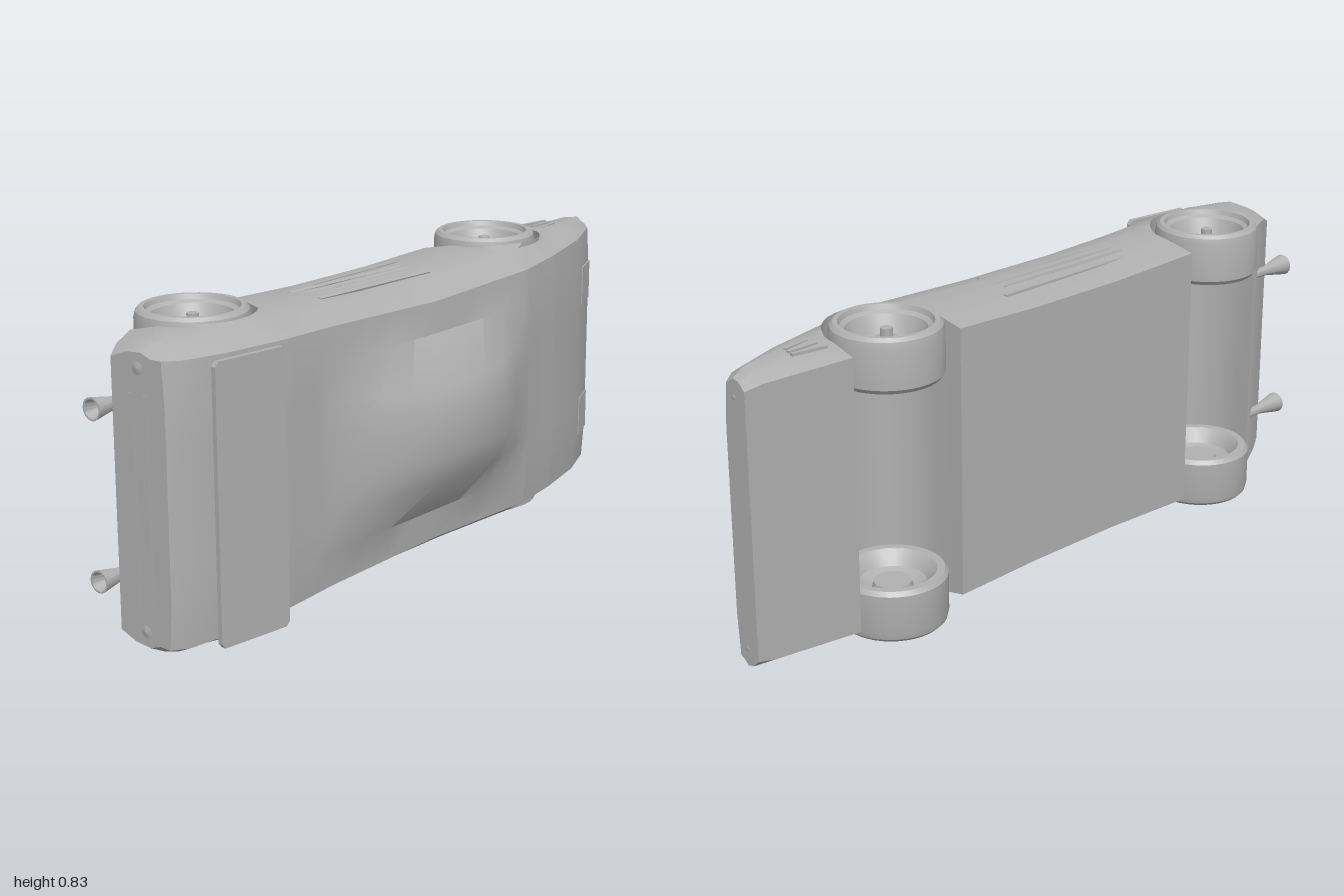
import * as THREE from 'three';
import { toCreasedNormals } from 'three/addons/utils/BufferGeometryUtils.js';

const MID = 0.4175; // the car lies on its side: length on x, width on y, height on z
const ARCHES = [{ x: -0.67, z: -0.115 }, { x: 0.535, z: -0.09 }];
const ARCH_R = 0.162;

// Profiles along the car, as pairs of x and value
const DECK = [[-0.97, 0.075], [-0.93, 0.105], [-0.8, 0.13], [-0.6, 0.14], [-0.42, 0.135], [0, 0.147],
  [0.42, 0.152], [0.6, 0.12], [0.8, 0.07], [0.95, 0.008], [1, -0.035]];
const CABIN = [[-0.5, 0], [-0.42, 0.015], [-0.3, 0.057], [-0.2, 0.088], [-0.1, 0.104], [0, 0.11],
  [0.1, 0.102], [0.2, 0.085], [0.3, 0.044], [0.42, 0.003], [0.5, 0]];
const WIDTH = [[-0.97, 0.375], [-0.93, 0.395], [-0.8, 0.405], [-0.6, 0.405], [-0.2, 0.391], [0.1, 0.391],
  [0.42, 0.401], [0.6, 0.402], [0.95, 0.392], [1, 0.383]];
const FLOOR = [[-0.97, -0.1], [-0.84, -0.165], [-0.51, -0.2], [0.38, -0.185], [0.7, -0.15], [1, -0.112]];

function sample(table, x) {
  let i = 0;
  while (i < table.length - 2 && x > table[i + 1][0]) i++;
  const [a, b] = [table[i], table[i + 1]];
  const t = THREE.MathUtils.clamp((x - a[0]) / (b[0] - a[0]), 0, 1);
  return a[1] + (b[1] - a[1]) * t;
}

// One closed cross-section, from the left sill over the roof to the right sill
function section(x) {
  const deck = sample(DECK, x), cabin = sample(CABIN, x), wide = sample(WIDTH, x), floor = sample(FLOOR, x);
  let low = floor;
  for (const a of ARCHES) {
    const d = Math.abs(x - a.x);
    if (d <= ARCH_R) low = a.z + Math.sqrt(ARCH_R * ARCH_R - d * d);
  }
  const roofWidth = 0.15 - 0.2 * cabin, shoulder = deck - 0.008;
  const half = [[roofWidth * 0.5, deck + cabin * 0.95], [roofWidth, deck + cabin * 0.8],
    [0.25, deck], [0.335 + 0.03 * Math.abs(x), shoulder]];
  for (const [t, inset] of [[0.2, 0.012], [0.4, 0], [0.7, 0.005], [1, 0.025]])
    half.push([wide - inset, Math.max(low, shoulder + (floor - shoulder) * t)]);
  return [...half.slice().reverse(), [0, deck + cabin], ...half.map(([w, z]) => [-w, z])];
}

// Lofted shell with full-width wheel tunnels
function bodyGeometry() {
  const stations = new Set([DECK, CABIN, WIDTH, FLOOR].flatMap(table => table.map(p => p[0])));
  for (const a of ARCHES) {
    for (let i = 0; i <= 16; i++) stations.add(a.x - ARCH_R * 0.9999 * Math.cos(Math.PI * i / 16));
    stations.add(a.x - ARCH_R - 0.001).add(a.x + ARCH_R + 0.001);
  }
  const xs = [...stations].sort((a, b) => a - b);
  const rings = xs.map(section), n = rings[0].length, pos = [], idx = [];
  rings.forEach((r, i) => r.forEach(([w, z]) => pos.push(xs[i], MID + w, z)));
  for (let i = 0; i < xs.length - 1; i++)
    for (let j = 0; j < n; j++) {
      const k = (j + 1) % n, a = i * n + j, b = a + n, c = i * n + k, d = c + n;
      idx.push(a, c, b, b, c, d);
    }
  // Flat tail and nose faces
  const last = xs.length - 1, m = xs.length * n;
  pos.push(xs[0], MID, -0.02, xs[last], MID, -0.075);
  for (let j = 0; j < n; j++) {
    const k = (j + 1) % n;
    idx.push(m, k, j, m + 1, last * n + j, last * n + k);
  }
  const g = new THREE.BufferGeometry();
  g.setAttribute('position', new THREE.Float32BufferAttribute(pos, 3));
  g.setIndex(idx);
  return toCreasedNormals(g, 0.5);
}

function lathe(points, segments) {
  return toCreasedNormals(new THREE.LatheGeometry(points.map(p => new THREE.Vector2(...p)), segments), 0.5);
}

export function createModel() {
  const car = new THREE.Group();
  car.name = 'sportsCar';
  const grey = new THREE.MeshStandardMaterial({ color: 0xb0b0b0 });
  grey.name = 'plain grey';
  const add = (name, geo, x, y, z) => {
    const mesh = new THREE.Mesh(geo, grey);
    mesh.name = name;
    mesh.position.set(x, y, z);
    car.add(mesh);
    return mesh;
  };
  const box = (name, sx, sy, sz, x, y, z) => add(name, new THREE.BoxGeometry(sx, sy, sz), x, y, z);

  add('body', bodyGeometry(), 0, 0, 0);

  // Wheels with deep dished rims, open at the back
  const wheel = lathe([[0, 0.035], [0.05, 0.035], [0.055, 0.055], [0.09, 0.04], [0.112, 0.004], [0.118, 0],
    [0.138, 0], [0.147, 0.012], [0.147, 0.118], [0.143, 0.136], [0.134, 0.145], [0.122, 0.145], [0.117, 0.132],
    [0.105, 0.125], [0.085, 0.078], [0.06, 0.068], [0.03, 0.068], [0.03, 0.1], [0.016, 0.102], [0.016, 0.125], [0, 0.125]], 40);
  for (const [name, a] of [['rearWheel', ARCHES[0]], ['frontWheel', ARCHES[1]]])
    for (const s of [1, -1]) {
      const m = add(name, wheel, a.x, MID + s * 0.2705, a.z);
      if (s < 0) m.rotation.x = Math.PI;
    }

  // Tail spoiler on short posts, corners clipped
  const wing = new THREE.Shape();
  [[-0.11, -0.35], [-0.1, -0.363], [0.1, -0.363], [0.11, -0.35], [0.11, 0.35], [0.1, 0.363], [-0.1, 0.363], [-0.11, 0.35]]
    .forEach(([x, y], i) => (i ? wing.lineTo(x, y) : wing.moveTo(x, y)));
  const spoiler = add('spoiler', new THREE.ExtrudeGeometry(wing, { depth: 0.014, bevelEnabled: false }), -0.77, 0.4125, 0.156);
  spoiler.rotation.y = -0.13;
  for (const s of [1, -1]) box('spoilerPost', 0.07, 0.01, 0.05, -0.73, MID + s * 0.26, 0.145);

  // Exhaust trumpets
  const pipe = lathe([[0, 0], [0.012, 0], [0.014, 0.07], [0.03, 0.155], [0.025, 0.155], [0.01, 0.09], [0, 0.09]], 16);
  for (const s of [1, -1]) add('exhaust', pipe, -0.845, MID - 0.005 + s * 0.222, -0.142).rotation.z = Math.PI / 2;

  // Grille bars and round lamps on nose and tail
  for (const [end, x, zs, dir] of [['nose', 0.998, [-0.053, -0.087], 1], ['tail', -0.97, [0.01, -0.035], -1]]) {
    for (const z of zs) box(end + 'GrilleBar', 0.006, 0.54, 0.014, x - dir * 0.001, MID, z);
    for (const s of [1, -1]) {
      const lamp = add(end + 'Lamp', new THREE.ConeGeometry(0.026, 0.006, 24), x + dir * 0.001, MID + s * 0.335, (zs[0] + zs[1]) / 2);
      lamp.rotation.z = -dir * Math.PI / 2;
    }
  }

  for (const s of [1, -1]) {
    // Pop-up lamp lids on the bonnet
    box('headlampLid', 0.107, 0.115, 0.007, 0.9, MID + s * 0.207, 0.028).rotation.y = 0.39;
    // Side intake: sill ledge and louvres
    box('intakeLedge', 0.53, 0.012, 0.014, -0.13, MID + s * 0.382, -0.105);
    for (let i = 0; i < 4; i++) {
      const slat = box('intakeLouvre', 0.44, 0.009, 0.012, -0.13, MID + s * 0.387, -0.065 + i * 0.033);
      slat.rotation.y = -0.04;
      slat.rotation.x = s * 0.3;
    }
    // Small vents ahead of the front wheels
    for (let i = 0; i < 3; i++)
      box('frontVentSlat', 0.1 - i * 0.01, 0.008, 0.01, 0.775, MID + s * 0.395, -0.08 + i * 0.026).rotation.y = 0.15 * (i - 1);
  }
  return car;
}
